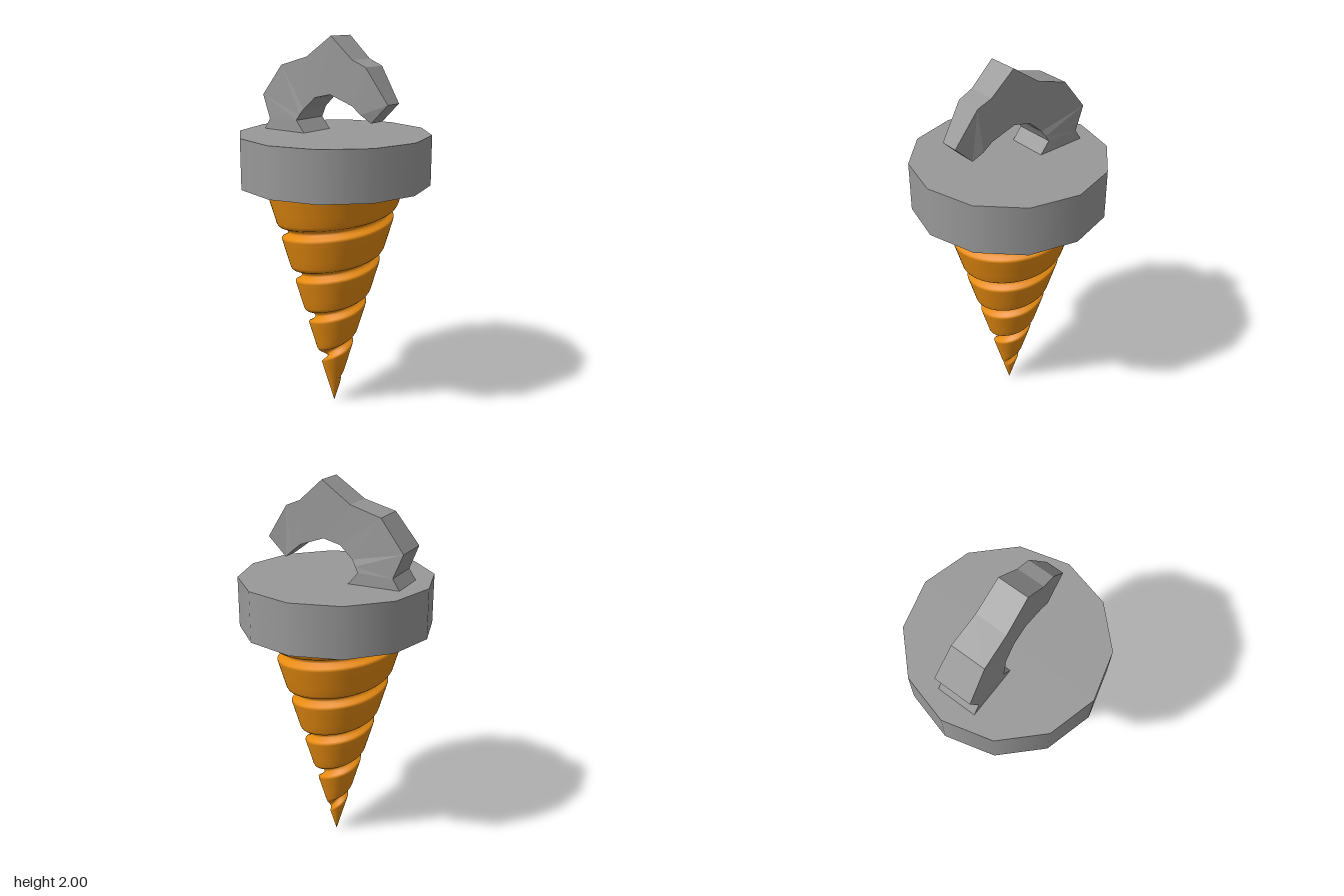
import * as THREE from 'three';
import { mergeVertices } from 'three/addons/utils/BufferGeometryUtils.js';

const grey = new THREE.MeshStandardMaterial({ name: 'steel grey', color: 0x999999 });
const flatGrey = grey;
const orange = new THREE.MeshStandardMaterial({ name: 'drill orange', color: 0xe58a10 });

// Cone with a helical groove; the rows of vertices follow the helix
function drillGeometry() {
  const pitch = 0.24, top = 1.27, segments = 72;
  // height from the groove centre, groove depth
  const groove = [
    [-0.045, 0], [-0.036, 0.002], [-0.029, 0.009], [-0.02, 0.03], [-0.01, 0.044], [0, 0.046],
    [0.009, 0.042], [0.016, 0.026], [0.023, 0.012], [0.032, 0.004], [0.045, 0], [0.09, 0], [0.145, 0],
  ];
  const rows = [];
  for (let turn = -6; turn <= 1; turn++) {
    for (const [dy, depth] of groove) rows.push([1.085 + turn * pitch + dy, depth]);
  }
  const positions = [], indices = [];
  for (const [base, depth] of rows) {
    for (let i = 0; i <= segments; i++) {
      const angle = (i / segments) * Math.PI * 2;
      const y = THREE.MathUtils.clamp(base + (pitch * i) / segments, 0, top);
      const cone = 0.293 * y;
      const cut = Math.min(depth * THREE.MathUtils.smoothstep(y, 0.1, 0.24), cone * 0.6);
      const r = cone - cut;
      positions.push(r * Math.sin(angle), y, r * Math.cos(angle));
    }
  }
  const stride = segments + 1;
  for (let j = 0; j < rows.length - 1; j++) {
    for (let i = 0; i < segments; i++) {
      const a = j * stride + i, b = a + stride;
      indices.push(a, a + 1, b, a + 1, b + 1, b);
    }
  }
  const geometry = new THREE.BufferGeometry();
  geometry.setAttribute('position', new THREE.Float32BufferAttribute(positions, 3));
  geometry.setIndex(indices);
  const merged = mergeVertices(geometry, 1e-5);
  merged.computeVertexNormals();
  return merged;
}

// Faceted hook lofted through rectangular sections, from its tip to its foot
function hookGeometry() {
  // outer z, outer y, inner z, inner y, half width
  const sections = [
    [0.365, 1.683, 0.267, 1.587, 0.047],
    [0.246, 1.857, 0.217, 1.627, 0.068],
    [0.167, 1.889, 0.167, 1.667, 0.072],
    [0.04, 2.0, 0.034, 1.714, 0.078],
    [-0.114, 1.894, -0.06, 1.693, 0.083],
    [-0.278, 1.847, -0.13, 1.63, 0.09],
    [-0.402, 1.688, -0.15, 1.6, 0.1],
    [-0.352, 1.566, -0.167, 1.571, 0.105],
    [-0.395, 1.5, -0.108, 1.5, 0.105],
  ].map(([oz, oy, iz, iy, w]) => [[w, oy, oz], [-w, oy, oz], [-w, iy, iz], [w, iy, iz]]);
  const positions = [];
  const quad = (a, b, c, d) => positions.push(...a, ...b, ...c, ...a, ...c, ...d);
  for (let i = 0; i < sections.length - 1; i++) {
    const a = sections[i], b = sections[i + 1];
    for (let j = 0; j < 4; j++) {
      const k = (j + 1) % 4;
      quad(a[j], b[j], b[k], a[k]);
    }
  }
  quad(...sections[0]);
  quad(...[...sections[sections.length - 1]].reverse());
  const geometry = new THREE.BufferGeometry();
  geometry.setAttribute('position', new THREE.Float32BufferAttribute(positions, 3));
  geometry.computeVertexNormals(); // unshared corners give flat faces
  return geometry;
}

export function createModel() {
  const model = new THREE.Group();
  const add = (name, geometry, material) => {
    const mesh = new THREE.Mesh(geometry, material);
    mesh.name = name;
    model.add(mesh);
    return mesh;
  };

  add('drillBit', drillGeometry(), orange);

  // Twelve-sided collar
  add('collar', new THREE.CylinderGeometry(0.5, 0.5, 0.26, 12), grey).position.y = 1.38;

  add('hook', hookGeometry(), flatGrey);
  return model;
}
